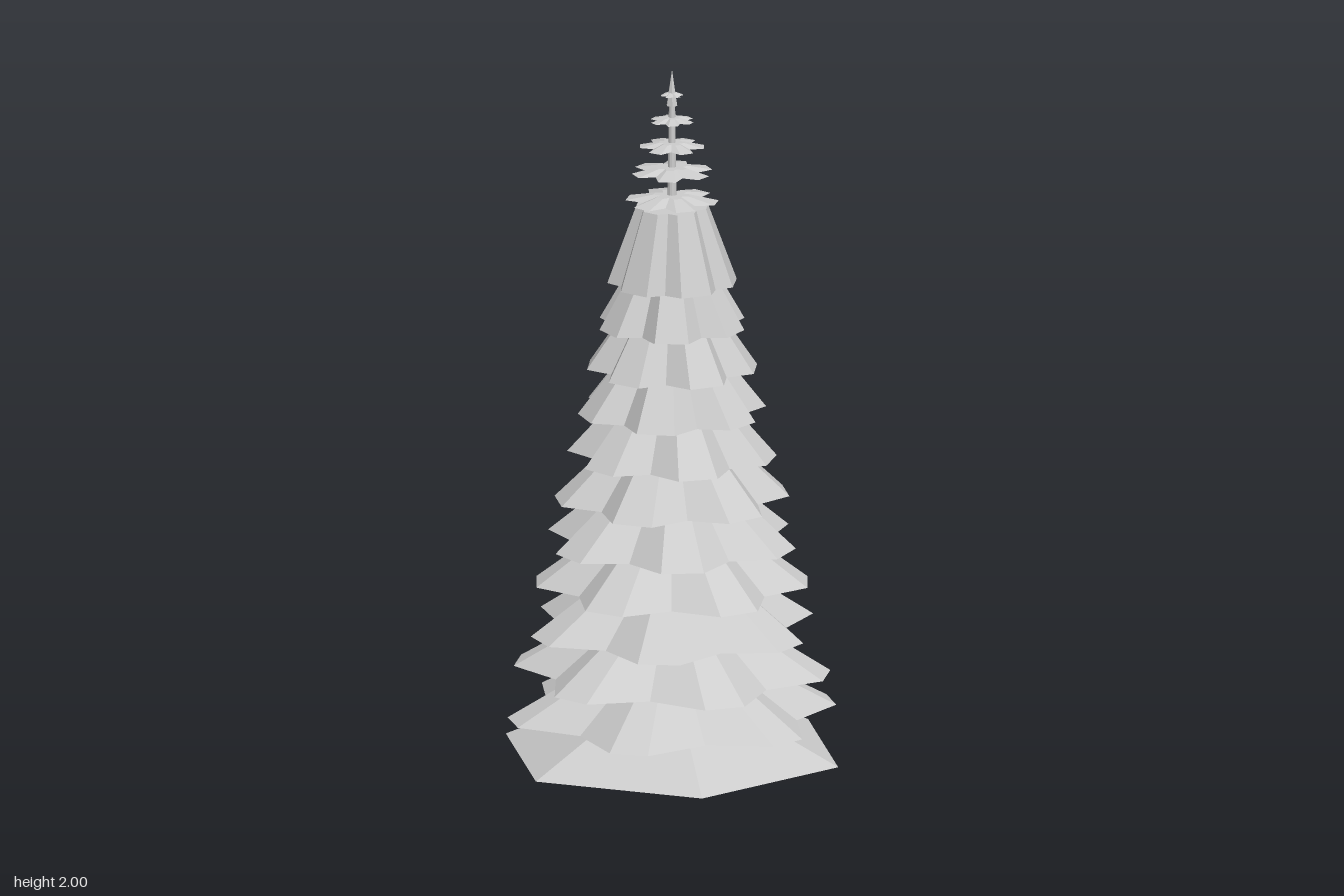
import * as THREE from 'three';

const grey = new THREE.MeshStandardMaterial({ color: 0xcccccc, side: THREE.DoubleSide, flatShading: true });
grey.name = 'pale grey';

// Open drooping skirt: a six-lobed ring (blunt tips, folded valleys) joined to a smaller top ring
function skirt({ y, rise, radius, topRadius, turn, valley, tipHalf }) {
  const pos = [];
  const rim = [];
  const add = (angle, r) => rim.push([Math.cos(angle), Math.sin(angle), r]);
  for (let i = 0; i < 6; i++) {
    const a = turn + (i * Math.PI) / 3;
    if (tipHalf > 0) {
      add(a - tipHalf, radius);
      add(a + tipHalf, radius);
      add(a + Math.PI / 6, radius * valley);
    } else add(a, radius);
  }
  for (let i = 0; i < rim.length; i++) {
    const p = rim[i], q = rim[(i + 1) % rim.length];
    const b0 = [p[0] * p[2], y, p[1] * p[2]], b1 = [q[0] * q[2], y, q[1] * q[2]];
    const k0 = (topRadius * p[2]) / radius, k1 = (topRadius * q[2]) / radius;
    const t0 = [p[0] * k0, y + rise, p[1] * k0], t1 = [q[0] * k1, y + rise, q[1] * k1];
    pos.push(...b0, ...t0, ...b1, ...b1, ...t0, ...t1);
    pos.push(...t0, 0, y + rise, 0, ...t1); // closing top
  }
  const g = new THREE.BufferGeometry();
  g.setAttribute('position', new THREE.Float32BufferAttribute(pos, 3));
  g.computeVertexNormals();
  return g;
}

export function createModel() {
  const tree = new THREE.Group();
  tree.name = 'firTree';
  const part = (geometry, name) => {
    const m = new THREE.Mesh(geometry, grey);
    m.name = name;
    tree.add(m);
    return m;
  };
  const deg = Math.PI / 180;

  // Trunk, tapering to the top shoot
  part(new THREE.CylinderGeometry(0.008, 0.038, 1.93, 12), 'trunk').position.y = 0.965;
  part(new THREE.ConeGeometry(0.016, 0.1, 6), 'topShoot').position.y = 1.95;

  // Lowest skirt is a plain hexagonal cone
  part(skirt({ y: 0.1, rise: 0.22, radius: 0.475, topRadius: 0.01, turn: 23 * deg, valley: 1, tipHalf: 0 }), 'lowestBranches');

  // Lobed skirts, each turned against the one below
  const radii = [0.445, 0.425, 0.395, 0.368, 0.345, 0.315, 0.282, 0.255, 0.23, 0.203];
  radii.forEach((radius, i) => {
    part(skirt({
      y: 0.21 + i * 0.12,
      rise: 0.24 + i * 0.01,
      radius,
      topRadius: 0.015,
      turn: (48 + i * 25) * deg,
      valley: 0.78,
      tipHalf: 0.12 + i * 0.012,
    }), 'branches' + (i + 2));
  });

  // Steep upper skirt with a flat top
  part(skirt({ y: 1.41, rise: 0.21, radius: 0.175, topRadius: 0.098, turn: 10 * deg, valley: 0.84, tipHalf: 0.25 }), 'upperBranches');

  // Small, nearly flat whorls around the leader
  const whorls = [[1.635, 0.125], [1.715, 0.11], [1.785, 0.088], [1.857, 0.06], [1.928, 0.03]];
  whorls.forEach(([y, radius], i) => {
    part(skirt({ y, rise: 0.016 - i * 0.002, radius, topRadius: radius * 0.4, turn: (15 + i * 25) * deg, valley: 0.65, tipHalf: 0.22 }), 'topWhorl' + (i + 1));
  });

  return tree;
}
